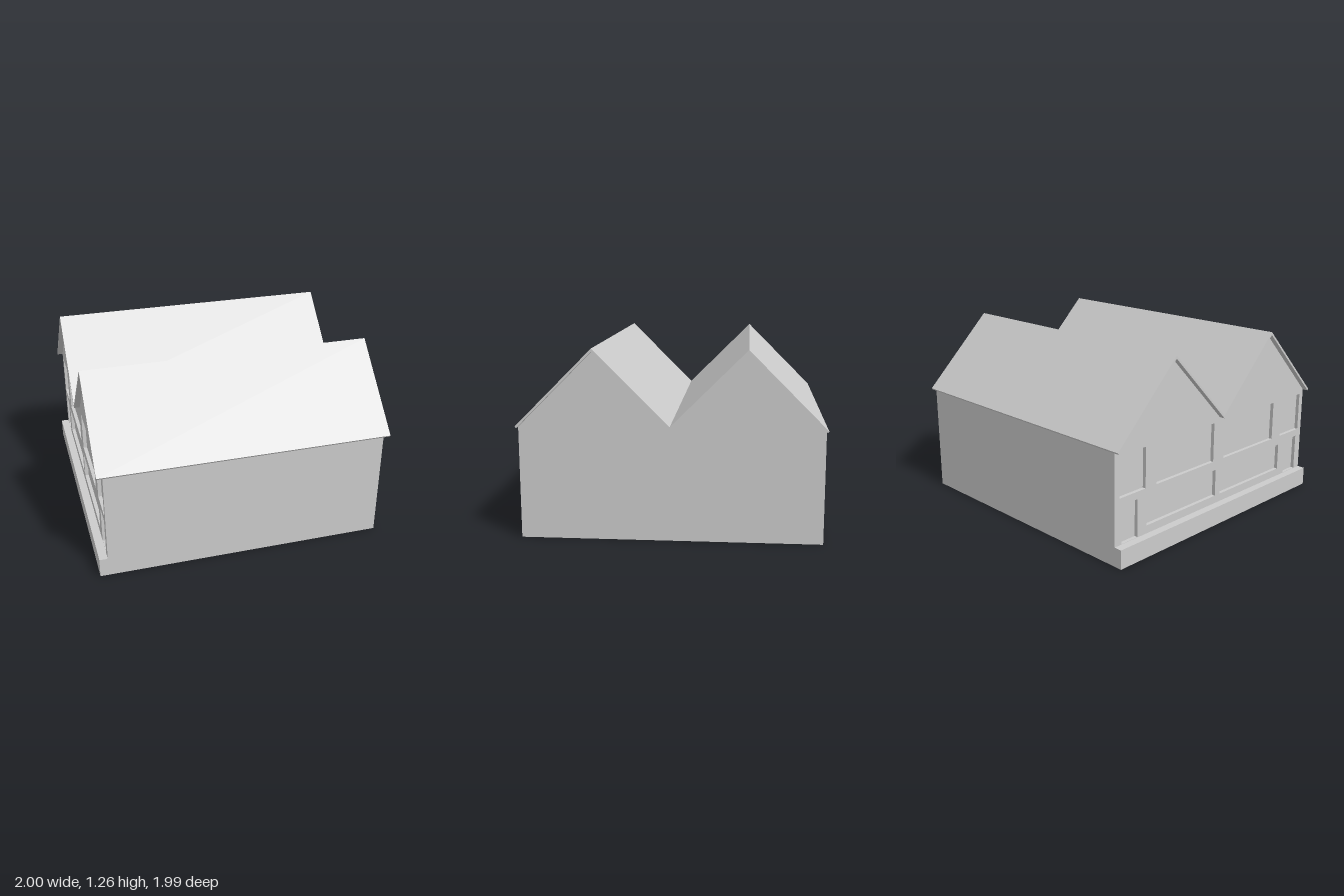
import * as THREE from 'three';

const material = new THREE.MeshStandardMaterial({ color: 0xcccccc, flatShading: true });

// Extrude a z-symmetric profile along x, from x0 to x1
function extrudeAlongX(name, shape, x0, x1) {
  const geometry = new THREE.ExtrudeGeometry(shape, { depth: x1 - x0, bevelEnabled: false });
  geometry.rotateY(Math.PI / 2).translate(x0, 0, 0);
  const mesh = new THREE.Mesh(geometry, material);
  mesh.name = name;
  return mesh;
}

const outline = (points) => new THREE.Shape(points.map(([z, y]) => new THREE.Vector2(z, y)));

// Double-gabled wall section, following the underside of the roof
const wallOutline = () => outline([
  [-0.985, 0], [0.985, 0], [0.985, 0.744], [0.492, 1.237],
  [0, 0.745], [-0.492, 1.237], [-0.985, 0.744],
]);

export function createModel() {
  const model = new THREE.Group();
  model.name = 'doubleGabledBuilding';

  const wallX = -0.945, recess = 0.025;
  model.add(extrudeAlongX('body', wallOutline(), wallX + recess, 0.955));

  // Facade layer with recessed windows and doors, mirrored about the middle
  const facade = wallOutline();
  const openings = [ // z0, z1, y0, y1
    [0.055, 0.615, 0.44, 0.715], // wide upper window
    [0.715, 0.945, 0.44, 0.715], // small upper window
    [0.025, 0.705, 0.185, 0.375], // wide lower window
    [0.785, 0.925, 0.132, 0.39], // door
  ];
  for (const [z0, z1, y0, y1] of openings) {
    for (const side of [1, -1]) {
      facade.holes.push(new THREE.Path([[z0, y0], [z0, y1], [z1, y1], [z1, y0]]
        .map(([z, y]) => new THREE.Vector2(side * z, y))));
    }
  }
  model.add(extrudeAlongX('facade', facade, wallX, wallX + recess));

  // Low step along the foot of the facade
  const step = new THREE.Mesh(new THREE.BoxGeometry(0.055, 0.13, 1.97), material);
  step.name = 'step';
  step.position.set(-0.9725, 0.065, 0);
  model.add(step);

  // Thin zigzag roof with overhanging ends
  const roof = outline([
    [-0.987, 0.742], [-0.492, 1.237], [0, 0.745], [0.492, 1.237], [0.987, 0.742],
    [0.995, 0.754], [0.492, 1.257], [0, 0.765], [-0.492, 1.257], [-0.995, 0.754],
  ]);
  model.add(extrudeAlongX('roof', roof, -0.985, 1));

  return model;
}
